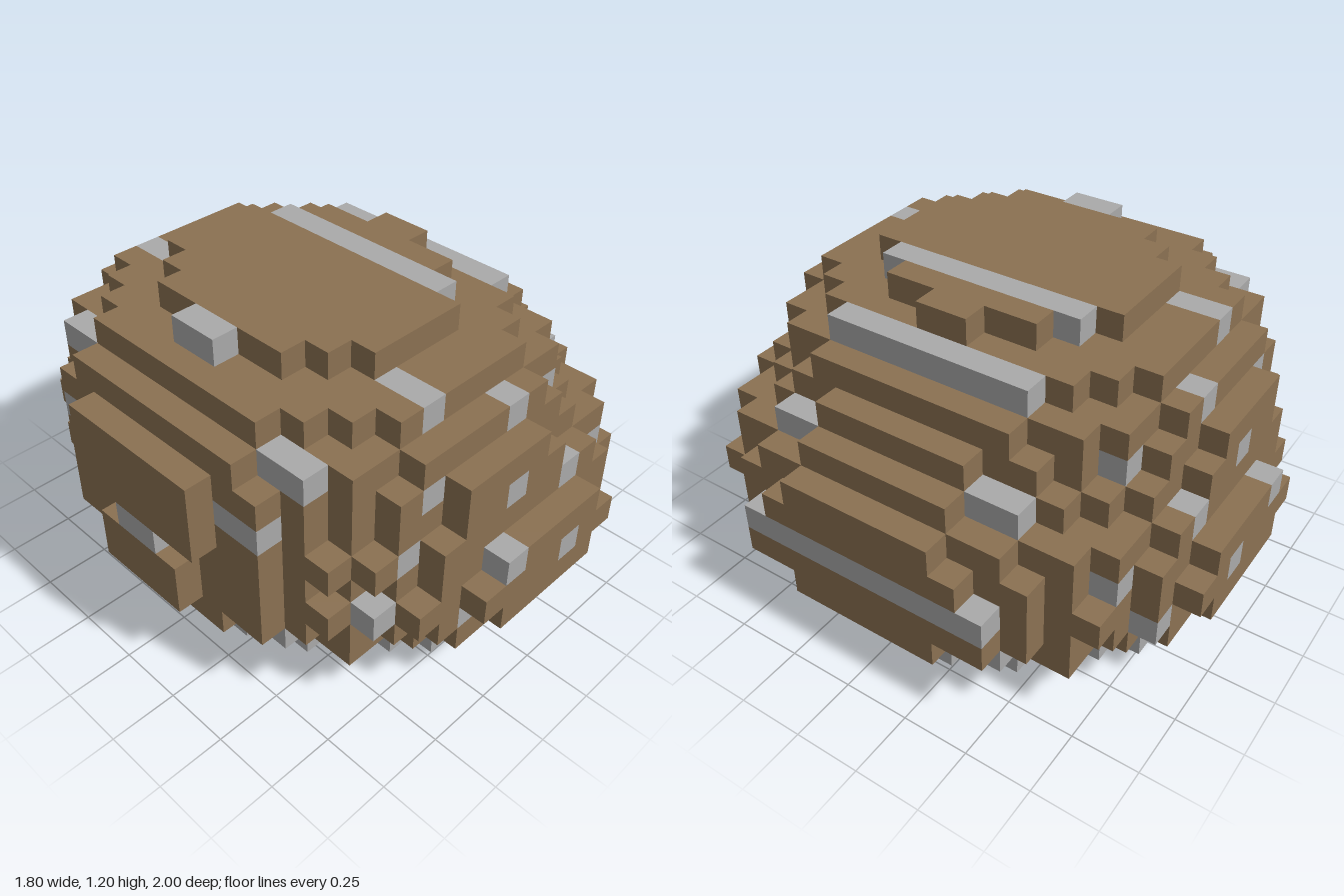
import * as THREE from 'three';

const CELL = 0.1;

// Elliptical outline of each layer of cubes from y = 1 up: [centre x, radius x, radius z]
const LAYERS = [
  null,
  [0.5, 7.5, 8.2], [0.5, 8.5, 9.2], [0.5, 9.2, 9.8], [0.45, 9.19, 10.12],
  [0.3, 8.85, 9.9], [0, 9, 9.49], [-0.5, 8.5, 9], [-1, 8, 8.9],
  [-1, 7.4, 8.3], [-1, 6.4, 7.1], [-1, 4.65, 4.85],
];

// Stepped hollow under the dome, in the same form
const HOLLOW = [
  null, null,
  [0.5, 7.2, 8], [0.5, 6.8, 7.5], [0.5, 4.8, 5.5], [0.3, 2.8, 3.5],
];

function within(ellipse, x, z) {
  if (!ellipse) return false;
  const [c, a, b] = ellipse;
  return ((x + 0.5 - c) / a) ** 2 + ((z + 0.5) / b) ** 2 <= 1;
}

// The sides of the dome are cut flat at x = -0.9 and x = 0.9
const inside = (x, y, z) => x >= -9 && x <= 8 && within(LAYERS[y], x, z);

const onRing = (x, y, z) => inside(x, y, z) &&
  !(inside(x + 1, y, z) && inside(x - 1, y, z) && inside(x, y, z + 1) && inside(x, y, z - 1));

// Distance of a cube from the middle plane, the same on both halves
const row = (z) => (z < 0 ? -1 - z : z);

// Small feet on the inner side of the rim
const isFoot = (x, z) => (x === 6 && row(z) === 0) || (x === -2 && row(z) === 6);

// Name of the part a cube belongs to, or null where there is none
function partAt(x, y, z) {
  if (y < 0 || y >= LAYERS.length) return null;
  if (y < 2 && isFoot(x, z)) return 'feet';
  if (y === 0) return null;
  if (y === 1) {
    const gap = (x >= -1 && x <= 1) || row(z) === 3;
    return onRing(x, y, z) && !gap ? 'rim' : null;
  }
  if (!inside(x, y, z) || within(HOLLOW[y], x, z)) return null;
  // Spots step diagonally through the dome
  return (x + 3 * y + 1) % 7 === 0 ? 'spots' : 'dome';
}

// Cube sides: outward normal and two edges that turn anticlockwise around it
const SIDES = [0, 1, 2].flatMap((axis) => [1, -1].map((sign) => {
  const n = [0, 0, 0], u = [0, 0, 0], v = [0, 0, 0];
  n[axis] = sign;
  u[(axis + 1) % 3] = 1;
  v[(axis + 2) % 3] = sign;
  return { n, u, v };
}));

function addSide(out, cell, { n, u, v }) {
  const corner = (s, t) => cell.map((p, i) =>
    (p + 0.5 + (n[i] + s * u[i] + t * v[i]) / 2) * CELL);
  const start = out.positions.length / 3;
  for (const [s, t] of [[-1, -1], [1, -1], [1, 1], [-1, 1]]) {
    out.positions.push(...corner(s, t));
    out.normals.push(...n);
  }
  out.indices.push(start, start + 1, start + 2, start, start + 2, start + 3);
}

export function createModel() {
  const brown = new THREE.MeshStandardMaterial({ color: 0x8b7152 });
  brown.name = 'brown';
  const grey = new THREE.MeshStandardMaterial({ color: 0xaaaaaa });
  grey.name = 'grey';
  const materials = { dome: brown, spots: grey, rim: grey, feet: grey };

  const parts = {};
  for (const name in materials) parts[name] = { positions: [], normals: [], indices: [] };

  // Only the exposed sides of each cube are built
  for (let y = 0; y < LAYERS.length; y++) {
    for (let x = -9; x < 9; x++) {
      for (let z = -10; z < 10; z++) {
        const name = partAt(x, y, z);
        if (!name) continue;
        for (const side of SIDES) {
          const [dx, dy, dz] = side.n;
          if (!partAt(x + dx, y + dy, z + dz)) addSide(parts[name], [x, y, z], side);
        }
      }
    }
  }

  const model = new THREE.Group();
  model.name = 'hollowDome';
  for (const [name, part] of Object.entries(parts)) {
    const geometry = new THREE.BufferGeometry();
    geometry.setAttribute('position', new THREE.Float32BufferAttribute(part.positions, 3));
    geometry.setAttribute('normal', new THREE.Float32BufferAttribute(part.normals, 3));
    geometry.setIndex(part.indices);
    const mesh = new THREE.Mesh(geometry, materials[name]);
    mesh.name = name;
    model.add(mesh);
  }
  return model;
}
